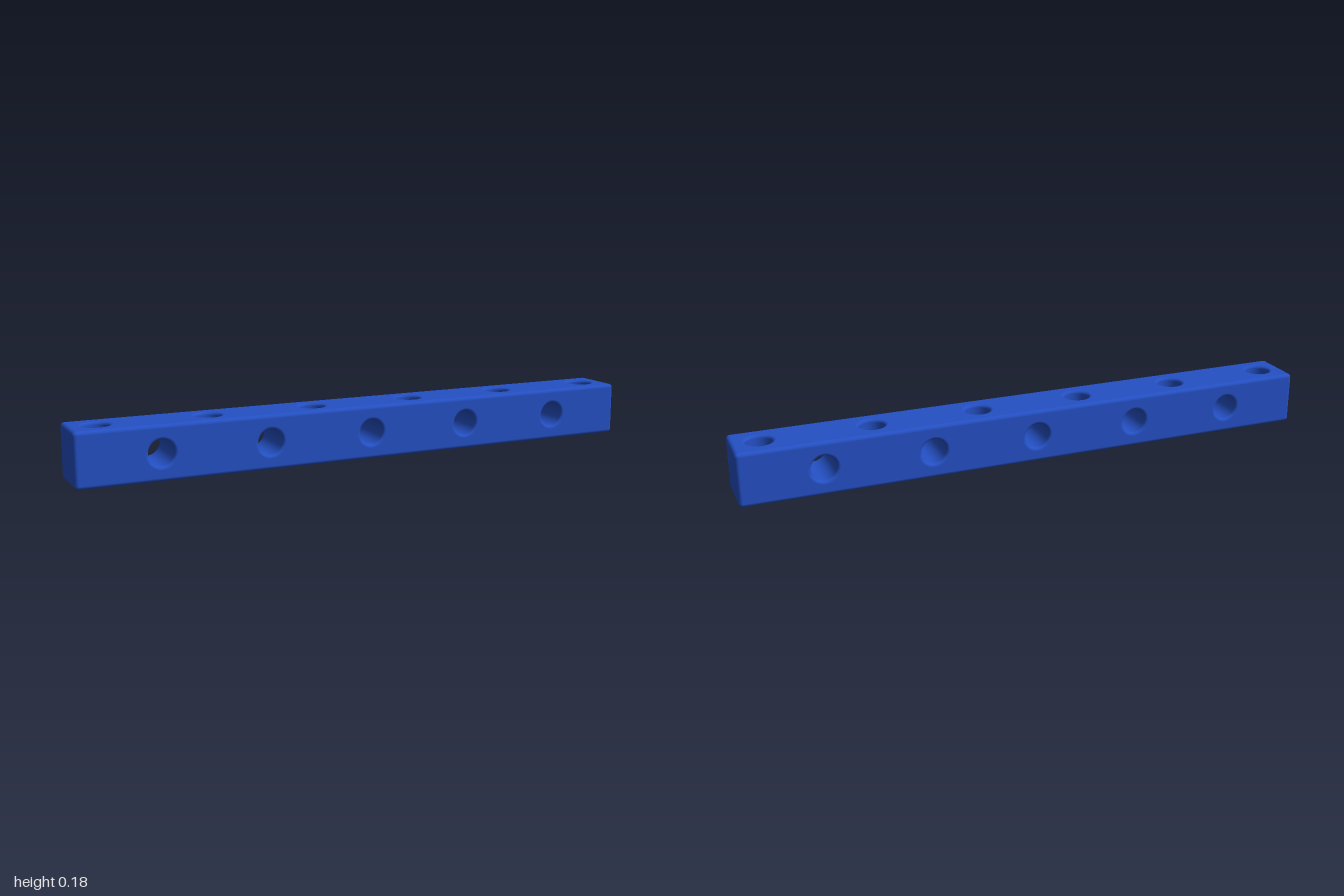
import * as THREE from 'three';
import { RoundedBoxGeometry } from 'three/addons/geometries/RoundedBoxGeometry.js';

const PITCH = 2 / 11;          // spacing of alternating holes
const HALF = PITCH / 2;        // half the square cross-section
const EDGE = 0.013;            // outer edge rounding
const BORE = 0.043;            // hole radius
const LIP = 0.01;              // rounding at each hole mouth
const STEPS = 32;

const verticalHoles = [-5, -3, -1, 1, 3, 5].map(i => i * PITCH);
const crossHoles = [-4, -2, 0, 2, 4].map(i => i * PITCH);

// Rounded edges, corners and end caps: a rounded box without its four long flat sides
function frameGeometry() {
  const box = new RoundedBoxGeometry(2, PITCH, PITCH, 4, EDGE);
  const geo = box.index ? box.toNonIndexed() : box;
  const pos = geo.attributes.position, nor = geo.attributes.normal;
  const p = [], n = [];
  for (let i = 0; i < pos.count; i += 3) {
    const corners = [i, i + 1, i + 2];
    const flat = corners.every(k => Math.abs(nor.getY(k)) > 0.9999)
      || corners.every(k => Math.abs(nor.getZ(k)) > 0.9999);
    if (flat) continue;
    for (const k of corners) {
      p.push(pos.getX(k), pos.getY(k), pos.getZ(k));
      n.push(nor.getX(k), nor.getY(k), nor.getZ(k));
    }
  }
  const out = new THREE.BufferGeometry();
  out.setAttribute('position', new THREE.Float32BufferAttribute(p, 3));
  out.setAttribute('normal', new THREE.Float32BufferAttribute(n, 3));
  return out;
}

// Flat long side with round openings, facing +z
function panelGeometry(holes) {
  const w = 1 - EDGE, h = HALF - EDGE;
  const shape = new THREE.Shape([
    new THREE.Vector2(-w, -h), new THREE.Vector2(w, -h),
    new THREE.Vector2(w, h), new THREE.Vector2(-w, h),
  ]);
  for (const x of holes) {
    shape.holes.push(new THREE.Path().absarc(x, 0, BORE + LIP, 0, Math.PI * 2, true));
  }
  return new THREE.ShapeGeometry(shape, STEPS / 2).translate(0, 0, HALF);
}

// Inner wall of a through hole with rounded mouths, profile run downwards to face inwards
function boreGeometry() {
  const top = [];
  for (let i = 0; i <= 5; i++) {
    const a = (i / 5) * Math.PI / 2;
    top.push(new THREE.Vector2(BORE + LIP * (1 - Math.sin(a)), HALF - LIP * (1 - Math.cos(a))));
  }
  const bottom = top.map(v => new THREE.Vector2(v.x, -v.y)).reverse();
  return new THREE.LatheGeometry([...top, ...bottom], STEPS);
}

export function createModel() {
  const group = new THREE.Group();
  group.name = 'perforatedBeam';
  const blue = new THREE.MeshStandardMaterial({ color: 0x2450c4, side: THREE.DoubleSide });
  const add = (name, geometry) => {
    const mesh = new THREE.Mesh(geometry, blue);
    mesh.name = name;
    mesh.position.y = HALF;
    group.add(mesh);
    return mesh;
  };

  add('roundedFrame', frameGeometry());

  // Four long sides, turned about the beam axis
  ['frontSide', 'bottomSide', 'backSide', 'topSide'].forEach((name, i) => {
    add(name, panelGeometry(i % 2 ? verticalHoles : crossHoles)).rotation.x = i * Math.PI / 2;
  });

  // Through holes
  const bore = boreGeometry();
  for (const x of verticalHoles) add('verticalHole', bore).position.x = x;
  for (const x of crossHoles) {
    const hole = add('crossHole', bore);
    hole.position.x = x;
    hole.rotation.x = Math.PI / 2;
  }
  return group;
}
